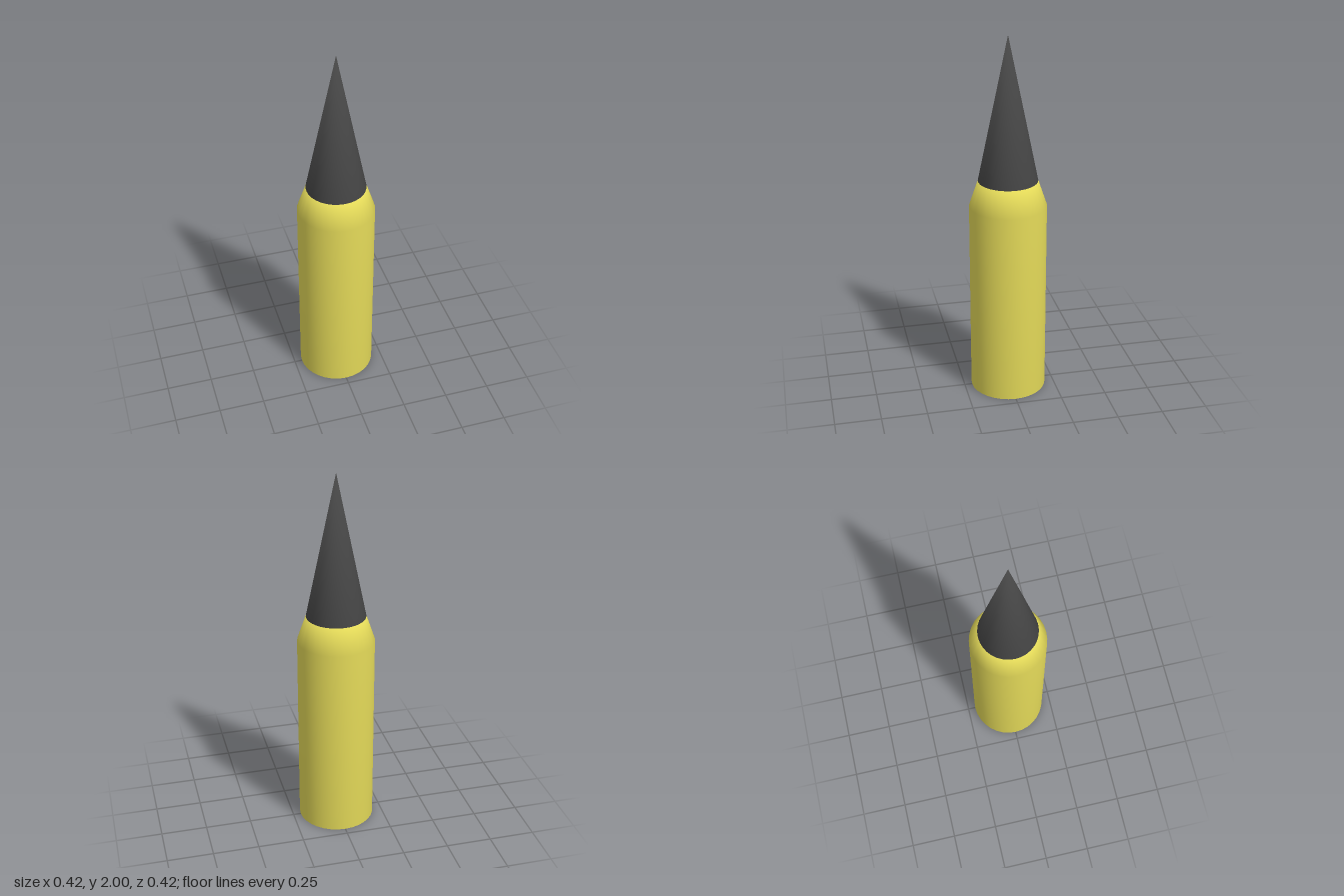
import * as THREE from 'three';

const SIDES = 32;
const yellow = new THREE.MeshStandardMaterial({ color: 0xe2d858 });
const dark = new THREE.MeshStandardMaterial({ color: 0x484848 });

// Turned part from a profile of [radius, height] pairs, running upwards
function turned(name, profile, material) {
  const points = profile.map(([r, y]) => new THREE.Vector2(r, y));
  const mesh = new THREE.Mesh(new THREE.LatheGeometry(points, SIDES), material);
  mesh.name = name;
  return mesh;
}

export function createModel() {
  const group = new THREE.Group();
  group.name = 'cartridge';

  // Straight case with a tapered shoulder and a shallow recess below
  group.add(turned('case', [
    [0.18, 0.01], [0.18, 0], [0.208, 0], [0.208, 1.08], [0.16, 1.22], [0, 1.22],
  ], yellow));

  // Pointed tip, smoothly shaded from the base edge to an upright apex normal
  const tip = turned('tip', [[0, 1.22], [0.16, 1.22], [0, 2]], dark);
  const { position, normal } = tip.geometry.attributes;
  for (let i = 0; i < position.count; i++) {
    if (position.getY(i) > 1.99) normal.setXYZ(i, 0, 1, 0);
  }
  group.add(tip);

  // Flat disc set in the base
  const disc = new THREE.Mesh(new THREE.CircleGeometry(0.18, SIDES), dark);
  disc.name = 'baseDisc';
  disc.rotation.x = Math.PI / 2;
  disc.position.y = 0.005;
  group.add(disc);

  return group;
}
